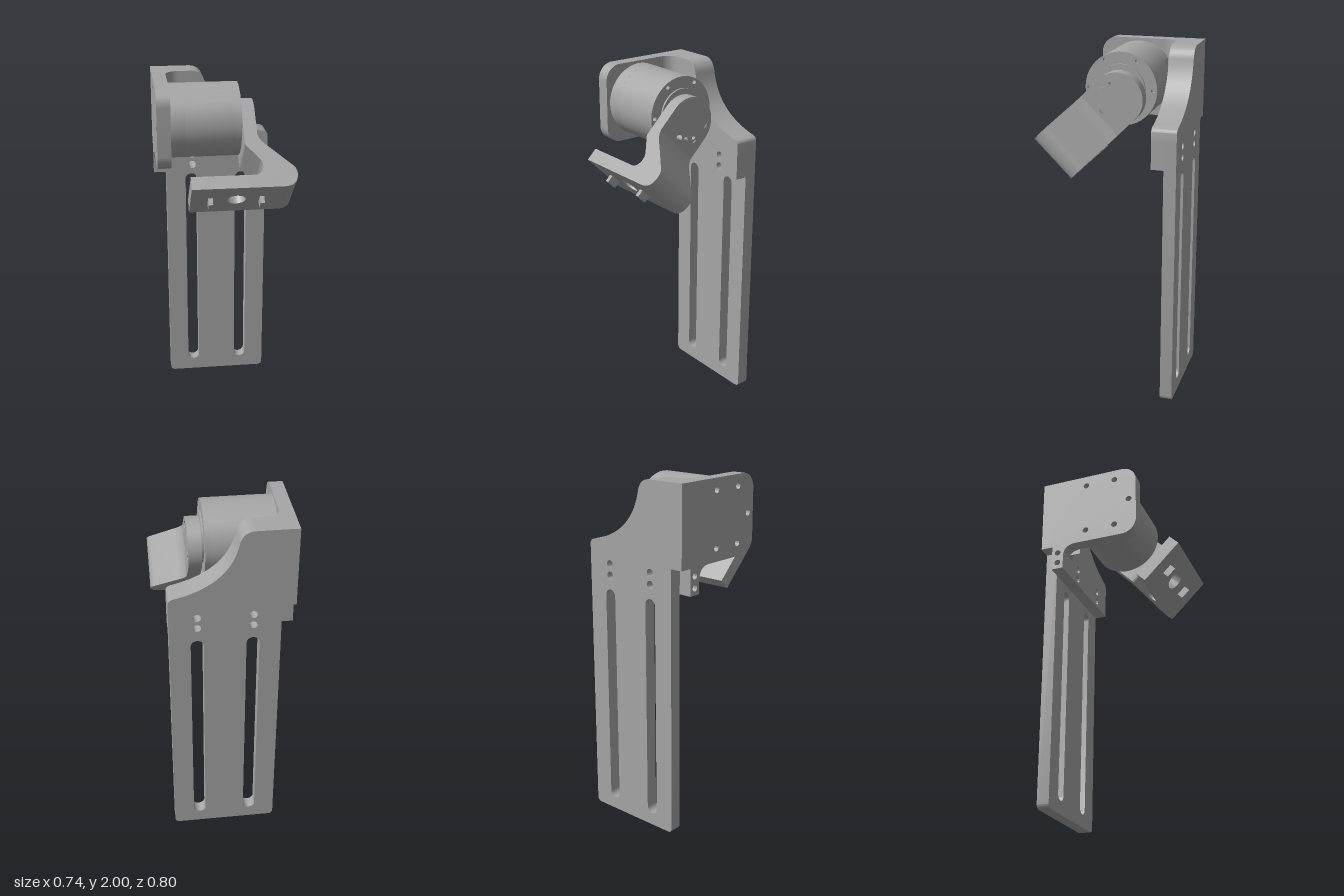
import * as THREE from 'three';
import { toCreasedNormals } from 'three/addons/utils/BufferGeometryUtils.js';

export function createModel() {
  const root = new THREE.Group();
  const metal = new THREE.MeshStandardMaterial({ color: 0xa6a6a6 });
  metal.name = 'grey metal';

  const add = (parent, name, geometry) => {
    const mesh = new THREE.Mesh(geometry, metal);
    mesh.name = name;
    parent.add(mesh);
    return mesh;
  };
  const drill = (shape, x, y, r) => {
    shape.holes.push(new THREE.Path().absarc(x, y, r, 0, Math.PI * 2, true));
  };
  const extrude = (shape, depth) => toCreasedNormals(
    new THREE.ExtrudeGeometry(shape, { depth, bevelEnabled: false, curveSegments: 20 }), 0.6);
  // Shape drawn in (z, y), running from x0 to x1
  const alongX = (shape, x0, x1) => extrude(shape, x1 - x0).rotateY(-Math.PI / 2).translate(x1, 0, 0);
  // Shape drawn in (x, y), running from z0 to z1
  const alongZ = (shape, z0, z1) => extrude(shape, z1 - z0).translate(0, 0, z0);
  // Shape drawn in (x, -z), running from y0 to y1
  const alongY = (shape, y0, y1) => extrude(shape, y1 - y0).rotateX(-Math.PI / 2).translate(0, y0, 0);

  const MZ = -0.03, MY = 1.78; // motor axis
  const columns = [-0.145, 0.155];
  const boltRows = [1.44, 1.505];

  // Slotted mounting plate
  const plate = new THREE.Shape();
  plate.moveTo(-0.265, 0).lineTo(0.275, 0).quadraticCurveTo(0.305, 0, 0.305, 0.03);
  plate.lineTo(0.305, 1.55).lineTo(-0.295, 1.55).lineTo(-0.295, 0.03);
  plate.quadraticCurveTo(-0.295, 0, -0.265, 0);
  for (const x of columns) {
    const slot = new THREE.Path();
    slot.absarc(x, 0.11, 0.035, Math.PI, Math.PI * 2, false);
    slot.absarc(x, 1.325, 0.035, 0, Math.PI, false);
    slot.closePath();
    plate.holes.push(slot);
    for (const y of boltRows) drill(plate, x, y, 0.022);
  }
  add(root, 'slottedPlate', alongZ(plate, -0.4, -0.33));

  // Motor bracket: side wall
  const wall = new THREE.Shape();
  wall.moveTo(-0.33, 1.4).lineTo(-0.26, 1.4).lineTo(-0.26, 1.47);
  wall.quadraticCurveTo(-0.26, 1.55, -0.18, 1.55);
  wall.lineTo(0.105, 1.55).absarc(0.105, 1.64, 0.09, -Math.PI / 2, 0, false);
  wall.absarc(0.105, 1.91, 0.09, 0, Math.PI / 2, false);
  wall.lineTo(-0.4, 2).lineTo(-0.4, 1.55).lineTo(-0.33, 1.55).closePath();
  for (let i = -2; i <= 2; i++) {
    const a = i * Math.PI / 3;
    drill(wall, MZ + 0.18 * Math.cos(a), MY + 0.18 * Math.sin(a), 0.018);
  }
  for (const y of boltRows) drill(wall, -0.295, y, 0.018);
  add(root, 'bracketSideWall', alongX(wall, -0.37, -0.295));

  // Motor bracket: back, thinner where it overlaps the slotted plate
  const lower = new THREE.Shape();
  lower.moveTo(-0.295, 1.4).lineTo(0.305, 1.4).lineTo(0.305, 1.55).lineTo(-0.295, 1.55).closePath();
  for (const x of columns) for (const y of boltRows) drill(lower, x, y, 0.022);
  add(root, 'bracketLap', alongZ(lower, -0.33, -0.26));

  const back = new THREE.Shape();
  back.moveTo(-0.295, 1.55).lineTo(0.305, 1.55).lineTo(0.305, 1.6);
  back.quadraticCurveTo(0.305, 1.622, 0.28, 1.63);
  back.bezierCurveTo(0.1, 1.67, -0.03, 1.76, -0.065, 1.93);
  back.quadraticCurveTo(-0.08, 2, -0.15, 2);
  back.lineTo(-0.295, 2).closePath();
  add(root, 'bracketBack', alongZ(back, -0.4, -0.26));

  // Fillet between wall and back
  const fillet = new THREE.Shape();
  fillet.moveTo(-0.295, 0.26).lineTo(-0.295, 0.185);
  fillet.quadraticCurveTo(-0.29, 0.26, -0.215, 0.26).closePath();
  add(root, 'bracketFillet', alongY(fillet, 1.52, 2));

  // Motor: rear section with a flat, body, drilled front flange, output disc
  const motor = new THREE.Group();
  motor.name = 'motor';
  root.add(motor);
  const rear = new THREE.Shape();
  rear.absarc(MZ, MY, 0.205, -Math.PI + 0.593, Math.PI - 0.593, false).closePath();
  add(motor, 'motorRear', alongX(rear, -0.295, -0.215));
  const disc = (r) => new THREE.Shape().absarc(MZ, MY, r, 0, Math.PI * 2, false);
  add(motor, 'motorBody', alongX(disc(0.205), -0.215, 0.065));
  const flange = disc(0.205);
  for (let i = 0; i < 6; i++) {
    const a = i * Math.PI / 3;
    drill(flange, MZ + 0.183 * Math.cos(a), MY + 0.183 * Math.sin(a), 0.012);
  }
  add(motor, 'motorFlange', alongX(flange, 0.065, 0.09));
  add(motor, 'outputDisc', alongX(disc(0.14), 0.09, 0.1));

  // Swinging arm: local y runs outward from the pivot, local z runs across
  const arm = new THREE.Group();
  arm.name = 'arm';
  arm.position.set(0, 1.74, MZ);
  arm.rotation.x = Math.PI * 0.75;
  root.add(arm);
  const W = 0.147;

  const hub = new THREE.Shape();
  hub.moveTo(W, 0.14).lineTo(W, 0).absarc(0, 0, W, 0, Math.PI, true);
  hub.lineTo(-W, 0.14).closePath();
  const armHoles = [
    [0.034, 0.1, 0.02], [-0.066, 0.074, 0.02], [-0.093, -0.027, 0.02], [-0.02, -0.095, 0.02],
    [0.034, -0.085, 0.015], [0.08, -0.068, 0.02], [0.105, 0.027, 0.02], [0.072, 0.068, 0.015]];
  for (const [z, y, r] of armHoles) drill(hub, -(z + y) * Math.SQRT1_2, (z - y) * Math.SQRT1_2, r);
  add(arm, 'armHub', alongX(hub, 0.1, 0.173));

  // Bent part of the arm
  const bend = new THREE.Shape();
  bend.moveTo(0.1, 0.14).lineTo(0.173, 0.14).quadraticCurveTo(0.182, 0.175, 0.215, 0.205);
  bend.lineTo(0.345, 0.33).quadraticCurveTo(0.368, 0.35, 0.368, 0.38);
  bend.quadraticCurveTo(0.368, 0.456, 0.29, 0.456);
  bend.lineTo(0.12, 0.456).lineTo(0.12, 0.381).lineTo(0.14, 0.381);
  bend.bezierCurveTo(0.185, 0.381, 0.2, 0.325, 0.175, 0.29);
  bend.lineTo(0.11, 0.21).quadraticCurveTo(0.1, 0.2, 0.1, 0.185).closePath();
  add(arm, 'armBend', alongZ(bend, -W, W));

  // End plate with centre hole and two locating tabs
  const foot = new THREE.Shape();
  foot.moveTo(-0.205, -W).lineTo(0.12, -W).lineTo(0.12, W).lineTo(-0.205, W).closePath();
  drill(foot, 0.045, 0, 0.051);
  add(arm, 'armEndPlate', alongY(foot, 0.381, 0.456));
  for (const x of [-0.098, 0.182]) {
    add(arm, 'locatingTab', new THREE.BoxGeometry(0.024, 0.05, 0.065)).position.set(x, 0.472, 0);
  }
  return root;
}
